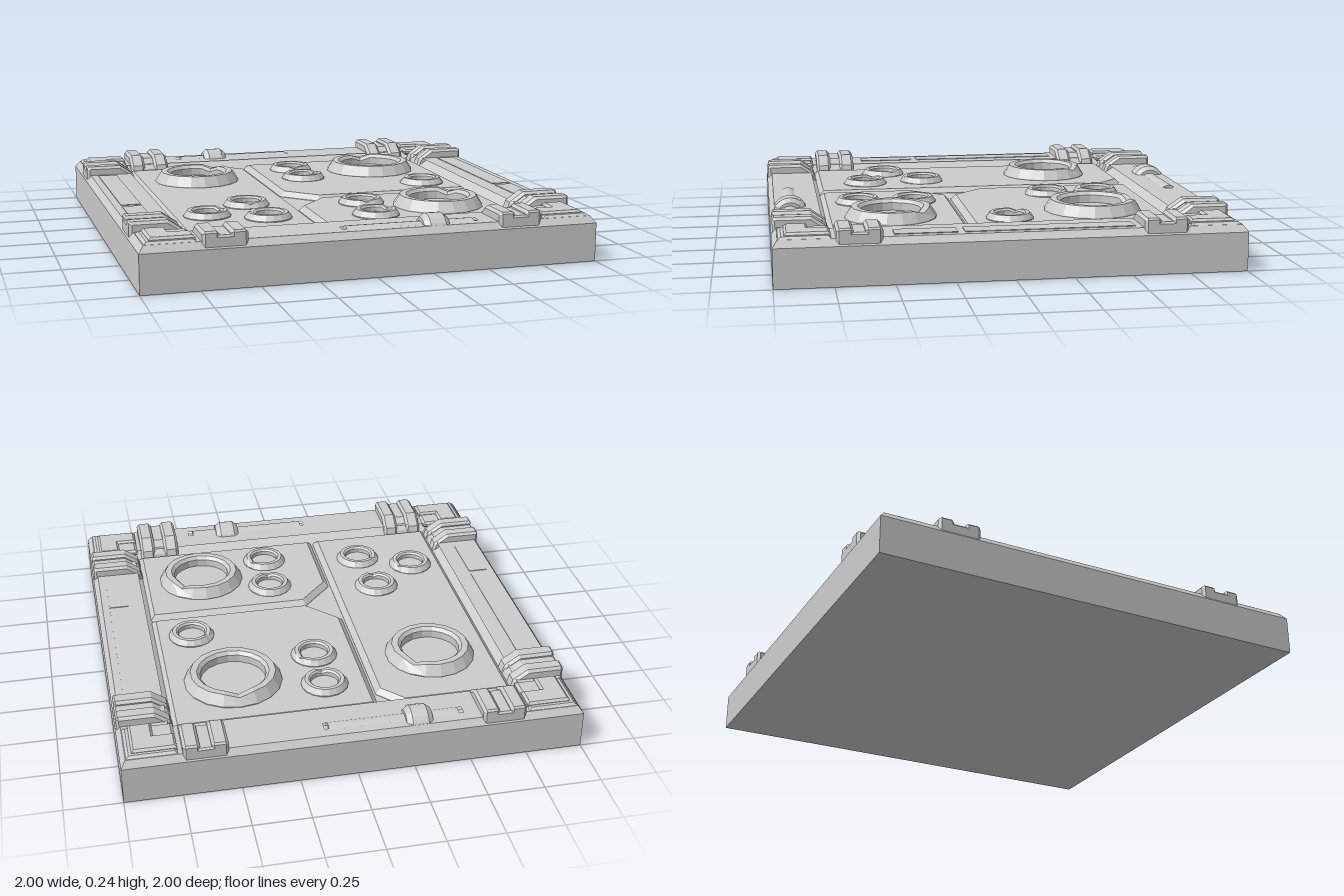
import * as THREE from 'three';

const material = new THREE.MeshStandardMaterial({ color: 0xcccccc, flatShading: true });

const toShape = (points) => new THREE.Shape(points.map(([x, z]) => new THREE.Vector2(x, -z)));
const rect = (x0, x1, z0, z1) => [[x0, z0], [x1, z0], [x1, z1], [x0, z1]];

function part(parent, name, geometry) {
  const mesh = new THREE.Mesh(geometry, material);
  mesh.name = name;
  parent.add(mesh);
  return mesh;
}

// Plate with a chamfered top edge; its underside is sunk into what lies below.
function slab(points, top, straight, bevel, rise, holes = []) {
  const shape = toShape(points);
  shape.holes = holes.map(toShape);
  const geometry = new THREE.ExtrudeGeometry(shape, {
    depth: straight, bevelEnabled: true, bevelSegments: 1,
    bevelSize: bevel, bevelThickness: rise, bevelOffset: -bevel,
  });
  return geometry.rotateX(-Math.PI / 2).translate(0, top - straight - rise, 0);
}

// Four sloping faces joining two concentric squares.
function squareSlope(r0, y0, r1, y1) {
  const pos = [];
  const corner = (k, r, y) => [[r, y, r], [r, y, -r], [-r, y, -r], [-r, y, r]][k % 4];
  for (let k = 0; k < 4; k++) {
    const a = corner(k, r0, y0), b = corner(k + 1, r0, y0);
    const c = corner(k + 1, r1, y1), d = corner(k, r1, y1);
    pos.push(...a, ...b, ...c, ...a, ...c, ...d);
  }
  const geometry = new THREE.BufferGeometry();
  geometry.setAttribute('position', new THREE.Float32BufferAttribute(pos, 3));
  geometry.computeVertexNormals();
  return geometry;
}

// Raised crater ring; one column of rim points may be pressed down as a chip.
function ring(outer, inner, height, sides, chip) {
  const w = outer - inner;
  const profile = [
    [outer, -0.01], [outer, 0.004], [outer - w * 0.4, height],
    [inner + w * 0.2, height], [inner, height * 0.7], [inner, -0.01],
  ].map(([r, y]) => new THREE.Vector2(r, y));
  const geometry = new THREE.LatheGeometry(profile, sides);
  const p = geometry.attributes.position;
  for (let i = 0; i < p.count; i++) {
    const rim = p.getY(i) > height * 0.6;
    const angle = Math.atan2(p.getX(i), p.getZ(i));
    const away = Math.abs(Math.atan2(Math.sin(angle - chip), Math.cos(angle - chip)));
    if (rim && away < Math.PI / sides) p.setY(i, p.getY(i) - height * 0.35);
  }
  return geometry;
}

// Ribbed clamp cross-section, reaching from the outer edge over the inner slope.
function clampRib(top, width, bevel) {
  const shape = new THREE.Shape([
    [0.995, 0.13], [0.995, top - 0.008], [0.987, top],
    [0.83, top], [0.765, top - 0.045], [0.745, 0.13],
  ].map(([u, y]) => new THREE.Vector2(u, y)));
  return new THREE.ExtrudeGeometry(shape, {
    depth: width - 2 * bevel, bevelEnabled: true, bevelSegments: 1,
    bevelSize: bevel, bevelThickness: bevel, bevelOffset: -bevel,
  }).translate(0, 0, -width / 2 + bevel);
}

function cylinderX(radius, x0, x1, sides) {
  return new THREE.CylinderGeometry(radius, radius, x1 - x0, sides)
    .rotateZ(Math.PI / 2).translate((x0 + x1) / 2, 0, 0);
}

export function createModel() {
  const model = new THREE.Group();
  model.name = 'floorTile';

  // Base and raised border with two slots
  part(model, 'base', new THREE.BoxGeometry(2, 0.15, 2).translate(0, 0.075, 0));
  part(model, 'border', slab(rect(-1, 1, -1, 1), 0.2, 0.04, 0.022, 0.03, [
    rect(-0.8, 0.8, -0.8, 0.8),
    rect(-0.5, 0.155, -0.95, -0.865),
    rect(-0.155, 0.5, 0.865, 0.95),
  ]));
  part(model, 'innerSlope', squareSlope(0.822, 0.2, 0.745, 0.15));

  // Floor panels separated by grooves
  const panels = [
    [[-0.76, -0.765], [-0.26, -0.765], [-0.157, -0.655], [-0.157, 0.76], [-0.76, 0.76]],
    [[-0.147, -0.765], [0.76, -0.765], [0.76, 0.138], [0, 0.138], [-0.147, -0.015]],
    [[0, 0.148], [0.76, 0.148], [0.76, 0.76], [-0.147, 0.76], [-0.147, 0.31]],
  ];
  for (const points of panels) part(model, 'floorPanel', slab(points, 0.176, 0.02, 0.024, 0.024));

  // Large and small crater rings
  const place = (name, geometry, x, z) => part(model, name, geometry).position.set(x, 0.176, z);
  for (const [x, z, r, chip] of [
    [-0.47, -0.41, 0.205, 2.27], [0.45, -0.45, 0.22, Math.PI], [0.47, 0.47, 0.205, 2.36],
  ]) place('largeRing', ring(r, r - 0.072, 0.05, 18, chip), x, z);
  const small = [
    [0.055, -0.56], [0.055, -0.32], [0.585, -0.045], [-0.375, 0.235],
    [-0.595, 0.41], [-0.345, 0.52], [0.145, 0.335], [0.13, 0.59],
  ];
  small.forEach(([x, z], i) =>
    place('smallRing', ring(0.106, 0.063, 0.028, 18, i * 2 * Math.PI / 3), x, z));

  // Clamps and corner plates, repeated around the four sides
  for (let k = 0; k < 4; k++) {
    const side = new THREE.Group();
    side.name = 'borderSide';
    side.rotation.y = k * Math.PI / 2;
    for (const s of [-1, 1]) {
      const clamp = new THREE.Group();
      clamp.name = 'clamp';
      clamp.position.z = s * 0.645;
      part(clamp, 'clampCore', clampRib(0.224, 0.17, 0.004));
      for (const t of [-1, 1]) {
        part(clamp, 'clampRib', clampRib(0.242, 0.072, 0.012)).position.z = t * 0.06;
      }
      side.add(clamp);
    }
    part(side, 'cornerPad', slab(rect(0.76, 0.975, 0.76, 0.975), 0.21, 0.01, 0.012, 0.01));
    part(side, 'cornerBracket', slab([
      [0.76, 0.95], [0.95, 0.95], [0.95, 0.76], [0.85, 0.76], [0.85, 0.85], [0.76, 0.85],
    ], 0.222, 0.01, 0.01, 0.01));
    model.add(side);
  }

  // Thin inlays on the left and right borders
  for (const s of [-1, 1]) {
    for (const [z0, z1] of [[-0.52, 0.205], [0.235, 0.5]]) {
      part(model, 'borderInlay', new THREE.BoxGeometry(0.09, 0.01, z1 - z0)
        .translate(s * 0.9, 0.198, (z0 + z1) / 2));
    }
  }

  // Pipes lying in the slots, with a wide collar and narrow ends
  for (const turn of [0, Math.PI]) {
    const pivot = new THREE.Group();
    pivot.name = 'pipeSide';
    pivot.rotation.y = turn;
    const pipe = new THREE.Group();
    pipe.name = 'pipe';
    pipe.position.set(0, 0.162, -0.908);
    part(pipe, 'pipeCore', cylinderX(0.034, -0.5, 0.155, 12));
    part(pipe, 'pipeBody', cylinderX(0.047, -0.455, 0.115, 20));
    const collar = [[0.047, -0.335], [0.062, -0.335], [0.08, -0.312],
      [0.08, -0.243], [0.062, -0.22], [0.047, -0.22]].map(([r, x]) => new THREE.Vector2(r, x));
    part(pipe, 'pipeCollar', new THREE.LatheGeometry(collar, 20).rotateZ(-Math.PI / 2));
    pivot.add(pipe);
    model.add(pivot);
  }
  return model;
}
